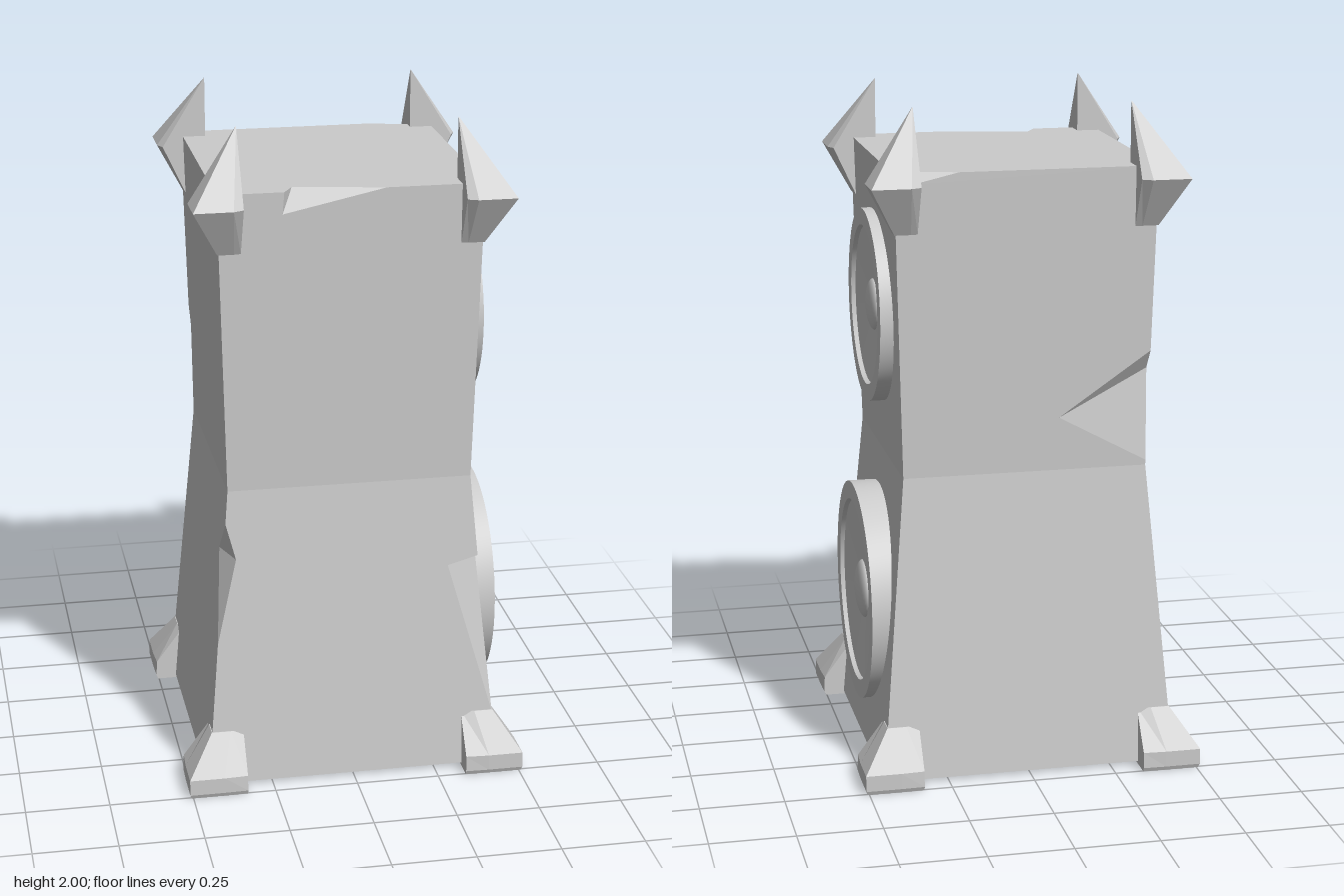
import * as THREE from 'three';
import { toCreasedNormals } from 'three/addons/utils/BufferGeometryUtils.js';

const flat = new THREE.MeshStandardMaterial({ color: 0xcccccc, flatShading: true, side: THREE.DoubleSide });
const smooth = new THREE.MeshStandardMaterial({ color: 0xcccccc, side: THREE.DoubleSide });

// Tower profile: half width at a given height
const WAIST = 0.92, TOP = 1.82, BASE = 0.01;
const half = (y) => y < WAIST
  ? THREE.MathUtils.lerp(0.445, 0.365, y / WAIST)
  : THREE.MathUtils.lerp(0.365, 0.388, (y - WAIST) / (TOP - WAIST));

// Wall coordinates: u runs to the right when looking at the wall from outside
const walls = {
  front: (u, y) => [u, y, half(y)],
  right: (u, y) => [half(y), y, -u],
  back: (u, y) => [-u, y, -half(y)],
  left: (u, y) => [-half(y), y, u],
  top: (u, v) => [u, TOP, -v],
};

function geometryFrom(positions) {
  const g = new THREE.BufferGeometry();
  g.setAttribute('position', new THREE.Float32BufferAttribute(positions, 3));
  g.computeVertexNormals();
  return g;
}

function makeBody() {
  const pos = [];
  // Fill a counter-clockwise outline on one wall
  const fill = (wall, pts) => {
    const outline = pts.map(([u, v]) => new THREE.Vector2(u, v));
    for (const tri of THREE.ShapeUtils.triangulateShape(outline, []))
      for (const i of tri) pos.push(...walls[wall](...pts[i]));
  };
  // Chipped edge from t to b, cut into the two walls at p and q
  const chip = (t, p, q, b) => pos.push(...t, ...p, ...q, ...p, ...b, ...q);
  const R = (y) => [half(y), y], L = (y) => [-half(y), y];
  const lower = (wall, rightCut = [], leftCut = []) =>
    fill(wall, [L(BASE), R(BASE), ...rightCut, R(WAIST), L(WAIST), ...leftCut]);
  const upper = (wall, rightCut = [], topCut = [], leftCut = []) =>
    fill(wall, [L(WAIST), R(WAIST), ...rightCut, R(TOP), ...topCut, L(TOP), ...leftCut]);

  // Lower walls, chipped at both front corners
  lower('front', [R(0.17), [0.295, 0.645], R(0.67)], [L(0.82), [-0.345, 0.71], L(0.45)]);
  lower('right', [], [L(0.67), [-0.35, 0.66], L(0.17)]);
  lower('back');
  lower('left', [R(0.45), [0.3, 0.72], R(0.82)]);

  // Upper walls, chipped at one rear corner and on two top edges
  upper('front', [], [[0.1, TOP], [-0.2, 1.755], [-0.195, TOP]]);
  upper('right');
  upper('back', [R(0.935), [0.1, 1.08], R(1.27)], [[-0.2, TOP], [-0.33, 1.79], [-0.34, TOP]]);
  upper('left', [], [], [L(1.27), [-0.335, 1.21], L(0.935)]);
  const h = half(TOP);
  fill('top', [[-h, -h], [-0.195, -h], [-0.165, -0.335], [0.1, -h], [h, -h],
    [h, h], [0.34, h], [0.33, 0.355], [0.2, h], [-h, h]]);

  // Broken surfaces inside the chips
  const { front, right, back, left, top } = walls;
  chip(front(...R(0.67)), front(0.295, 0.645), right(-0.35, 0.66), front(...R(0.17)));
  chip(front(...L(0.82)), left(0.3, 0.72), front(-0.345, 0.71), front(...L(0.45)));
  chip(back(...R(1.27)), left(-0.335, 1.21), back(0.1, 1.08), back(...R(0.935)));
  chip(top(-0.195, -h), top(-0.165, -0.335), front(-0.2, 1.755), top(0.1, -h));
  chip(top(0.34, h), top(0.33, 0.355), back(-0.33, 1.79), top(0.2, h));
  return new THREE.Mesh(geometryFrom(pos), flat);
}

// Join matching cross-sections ({ y, pts: [x, z] }) from bottom to top
function loft(sections, capTop) {
  const pos = [];
  const at = (s, i) => { const p = s.pts[i % s.pts.length]; return [p[0], s.y, p[1]]; };
  for (let k = 0; k < sections.length - 1; k++) {
    const a = sections[k], b = sections[k + 1];
    for (let i = 0; i < a.pts.length; i++) {
      pos.push(...at(a, i), ...at(b, i), ...at(b, i + 1));
      pos.push(...at(a, i), ...at(b, i + 1), ...at(a, i + 1));
    }
  }
  const cap = (s, up) => {
    for (let i = 1; i < s.pts.length - 1; i++)
      pos.push(...at(s, 0), ...at(s, up ? i + 1 : i), ...at(s, up ? i : i + 1));
  };
  if (capTop) cap(sections[sections.length - 1], true);
  else cap(sections[0], false);
  return geometryFrom(pos);
}

// Corner section from a to b, its two inner ends set back by c over a length d
const corner = (y, a, b, c, d) => ({
  y, pts: [[a, a], [b - c, a], [b, a + d], [b, b], [a + d, b], [a, b - c]],
});

// Driver unit facing +x: raised rim, shallow cone and domed cap
function makeSpeaker(name, y, back, face, radius, rim, capRadius) {
  const group = new THREE.Group();
  group.name = name;
  const depth = face - back;
  const profile = [[radius, 0], [radius, depth], [rim, depth], [rim - 0.004, depth - 0.013],
    [capRadius * 0.9, depth - 0.03]].map(([r, d]) => new THREE.Vector2(r, d));
  const ring = new THREE.Mesh(toCreasedNormals(new THREE.LatheGeometry(profile, 64), 0.5), smooth);
  ring.name = 'rimAndCone';
  const dome = new THREE.Mesh(new THREE.SphereGeometry(capRadius, 32, 10, 0, Math.PI * 2, 0, Math.PI / 2), smooth);
  dome.name = 'dustCap';
  dome.scale.y = 0.3;
  dome.position.y = depth - 0.031;
  group.add(ring, dome);
  group.rotation.z = -Math.PI / 2;
  group.position.set(back, y, 0);
  return group;
}

export function createModel() {
  const model = new THREE.Group();
  model.name = 'speakerTower';

  const body = makeBody();
  body.name = 'cabinet';
  model.add(body);

  // Feet and spikes, one of each per corner
  const footGeometry = loft([
    corner(0, 0.335, 0.505, 0.002, 0.07),
    corner(0.012, 0.335, 0.51, 0.002, 0.07),
    corner(0.06, 0.335, 0.51, 0.004, 0.07),
    corner(0.175, 0.335, 0.432, 0.012, 0.04),
  ], true);
  const spikeGeometry = loft([
    corner(1.645, 0.32, 0.388, 0.004, 0.02),
    corner(1.79, 0.32, 0.465, 0.014, 0.03),
    corner(2, 0.32, 0.321, 0, 0),
  ], false);
  for (let i = 0; i < 4; i++) {
    const foot = new THREE.Mesh(footGeometry, flat);
    foot.name = 'foot' + (i + 1);
    const spike = new THREE.Mesh(spikeGeometry, flat);
    spike.name = 'cornerSpike' + (i + 1);
    foot.rotation.y = spike.rotation.y = i * Math.PI / 2;
    model.add(foot, spike);
  }

  model.add(makeSpeaker('wooferSpeaker', 0.47, 0.375, 0.457, 0.335, 0.28, 0.09));
  model.add(makeSpeaker('upperSpeaker', 1.365, 0.365, 0.415, 0.29, 0.24, 0.078));
  return model;
}
